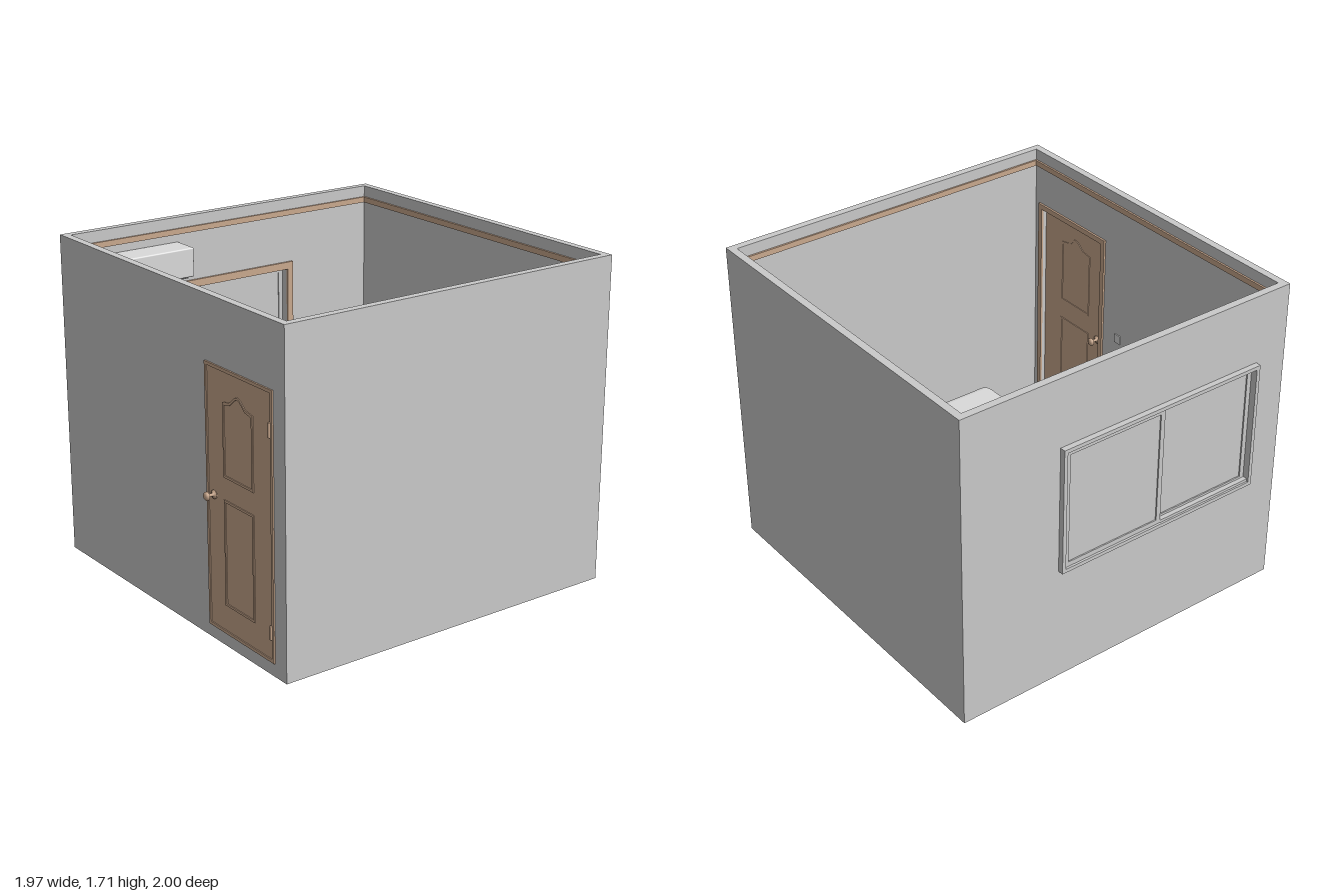
import * as THREE from 'three';
import { RoundedBoxGeometry } from 'three/addons/geometries/RoundedBoxGeometry.js';

export function createModel() {
  const root = new THREE.Group();
  root.name = 'bedroom';
  const mat = (name, color) => {
    const m = new THREE.MeshStandardMaterial({ color });
    m.name = name;
    return m;
  };
  const wall = mat('wallGrey', 0xcacaca), wood = mat('tanWood', 0xcaa98e), beige = mat('beigeWood', 0xc3b7a0);
  const white = mat('white', 0xdadada), grey = mat('grey', 0xa8a8a8), dark = mat('darkGrey', 0x5a5450);

  const add = (name, geo, m, parent = root) => {
    const mesh = new THREE.Mesh(geo, m);
    mesh.name = name;
    parent.add(mesh);
    return mesh;
  };
  const group = (name) => {
    const g = new THREE.Group();
    g.name = name;
    root.add(g);
    return g;
  };
  // Box given by its limits; r > 0 rounds the edges
  const box = (name, m, x0, x1, y0, y1, z0, z1, parent = root, r = 0) => {
    const s = [x1 - x0, y1 - y0, z1 - z0];
    const geo = r ? new RoundedBoxGeometry(...s, 4, r) : new THREE.BoxGeometry(...s);
    geo.translate((x0 + x1) / 2, (y0 + y1) / 2, (z0 + z1) / 2);
    return add(name, geo, m, parent);
  };
  const rect = (x0, x1, y0, y1) => [[x0, y0], [x1, y0], [x1, y1], [x0, y1]].map((p) => new THREE.Vector2(...p));
  const plate = (outer, hole, depth) => {
    const s = new THREE.Shape(outer);
    if (hole) s.holes.push(new THREE.Path(hole));
    return new THREE.ExtrudeGeometry(s, { depth, bevelEnabled: false });
  };
  // Turns a plate drawn in (z, y) so that its depth runs from x = x1 towards -x
  const sideways = (geo, x1) => geo.rotateY(-Math.PI / 2).translate(x1, 0, 0);

  // Room shell
  const H = 1.705;
  box('floor', wood, -0.915, 0.94, 0, 0.06, -0.96, 0.9);
  box('backWall', wall, -0.955, 0.98, 0, H, -1, -0.96);
  box('rightWall', wall, 0.94, 0.98, 0, H, -0.96, 0.9);
  add('frontWall', plate(rect(-0.955, 0.98, 0, H), rect(0.37, 0.88, 0.08, 1.375), 0.04).translate(0, 0, 0.9), wall);
  add('leftWall', sideways(plate(rect(-0.96, 0.9, 0, H), rect(-0.43, 0.74, 0.65, 1.32), 0.04), -0.915), wall);
  add('crownMoulding', plate(rect(-0.915, 0.94, -0.9, 0.96), rect(-0.905, 0.93, -0.89, 0.95), 0.03)
    .rotateX(-Math.PI / 2).translate(0, 1.615, 0), wood);

  // Door with moulded panels on both faces
  const door = group('door');
  box('doorLeaf', wood, 0.37, 0.88, 0.08, 1.375, 0.925, 0.943, door);
  add('doorFrame', plate(rect(0.358, 0.892, 0.068, 1.387), rect(0.374, 0.876, 0.084, 1.371), 0.01).translate(0, 0, 0.938), wood, door);
  add('innerDoorFrame', plate(rect(0.345, 0.905, 0.06, 1.4), rect(0.374, 0.876, 0.082, 1.371), 0.012).translate(0, 0, 0.889), wood, door);
  const archPanel = (i) => {
    const pts = [[0.5 + i, 0.86 + i], [0.74 - i, 0.86 + i], [0.74 - i, 1.225 - i]];
    for (let k = 0; k <= 12; k++) {
      const t = k / 6 - 1;
      pts.push([0.62 - t * -1 * -(0.08 - i / 2), 1.232 - i + 0.045 * (0.5 + 0.5 * Math.cos(t * Math.PI))]);
    }
    pts.push([0.5 + i, 1.225 - i]);
    return pts.map((p) => new THREE.Vector2(...p));
  };
  for (const z of [0.941, 0.921]) {
    add('upperPanelMoulding', plate(archPanel(0), archPanel(0.012), 0.006).translate(0, 0, z), wood, door);
    add('lowerPanelMoulding', plate(rect(0.5, 0.74, 0.215, 0.75), rect(0.512, 0.728, 0.227, 0.738), 0.006).translate(0, 0, z), wood, door);
  }
  const knobProfile = [[0, 0], [0.022, 0], [0.022, 0.006], [0.008, 0.011], [0.008, 0.032], [0.021, 0.04], [0.021, 0.05], [0.012, 0.057], [0, 0.057]]
    .map((p) => new THREE.Vector2(...p));
  for (const side of [1, -1]) {
    const knob = add('doorKnob', new THREE.LatheGeometry(knobProfile, 20), wood, door);
    knob.rotation.x = side * Math.PI / 2;
    knob.position.set(0.42, 0.75, side > 0 ? 0.943 : 0.925);
  }
  for (const y of [0.22, 1.2]) {
    const hinge = add('hinge', new THREE.CylinderGeometry(0.007, 0.007, 0.07, 10), wood, door);
    hinge.position.set(0.876, y, 0.951);
  }
  box('lightSwitch', white, 0.2, 0.245, 0.83, 0.88, 0.894, 0.9);

  // Sliding window in the left wall
  const win = group('window');
  add('windowFrame', sideways(plate(rect(-0.445, 0.755, 0.64, 1.335), rect(-0.425, 0.735, 0.66, 1.315), 0.07), -0.915), wall, win);
  add('windowTrim', sideways(plate(rect(-0.46, 0.77, 0.62, 1.355), rect(-0.425, 0.735, 0.66, 1.315), 0.012), -0.903), wood, win);
  [[-0.425, 0.165, -0.955], [0.125, 0.735, -0.93]].forEach(([z0, z1, x]) => {
    add('sashFrame', sideways(plate(rect(z0, z1, 0.66, 1.315), rect(z0 + 0.025, z1 - 0.025, 0.685, 1.29), 0.018), x), wall, win);
    box('pane', wall, x - 0.011, x - 0.005, 0.68, 1.295, z0 + 0.02, z1 - 0.02, win);
  });
  box('windowRail', wall, -0.975, -0.95, 0.66, 0.675, 0.165, 0.735, win);

  // Air conditioner
  const ac = group('airConditioner');
  box('airConditionerBody', white, -0.915, -0.76, 1.42, 1.575, 0.27, 0.82, ac, 0.008);
  box('airVent', grey, -0.9, -0.775, 1.412, 1.421, 0.3, 0.79, ac);

  // Bed
  const bed = group('bed');
  box('headboardShelf', beige, 0.205, 0.93, 0.06, 0.5, -0.955, -0.83, bed);
  box('bedBase', beige, 0.22, 0.915, 0.13, 0.23, -0.83, 0.54, bed);
  for (const x of [0.205, 0.905]) box('sideRail', beige, x, x + 0.02, 0.1, 0.27, -0.83, 0.54, bed);
  box('footboard', beige, 0.205, 0.925, 0.06, 0.3, 0.535, 0.55, bed);
  box('mattress', white, 0.225, 0.915, 0.22, 0.38, -0.82, 0.538, bed, 0.06);
  // Pillow: a flat box puffed up in the middle with drawn-in sides
  const pillow = new THREE.BoxGeometry(2, 2, 2, 16, 2, 12);
  const pp = pillow.attributes.position;
  for (let i = 0; i < pp.count; i++) {
    const x = pp.getX(i), y = pp.getY(i), z = pp.getZ(i);
    const puff = Math.pow((1 - x ** 4) * (1 - z ** 4), 0.5);
    pp.setXYZ(i, x * 0.17 * (1 - 0.06 * (1 - z * z)), y * (0.004 + 0.04 * puff), z * 0.103 * (1 - 0.08 * (1 - x * x)));
  }
  pillow.computeVertexNormals();
  add('pillow', pillow, white, bed).position.set(0.575, 0.41, -0.712);

  // Things on the headboard shelf
  const clock = group('alarmClock');
  box('clockBody', dark, -0.045, 0.045, 0, 0.05, -0.022, 0.022, clock, 0.01);
  box('clockFace', grey, -0.036, 0.036, 0.01, 0.04, 0.02, 0.024, clock);
  clock.position.set(0.358, 0.5, -0.89);
  clock.rotation.y = 0.15;
  box('tissueBox', beige, 0.447, 0.612, 0.5, 0.56, -0.92, -0.852);
  box('tissueSlot', dark, 0.49, 0.57, 0.56, 0.562, -0.891, -0.882);

  // Desk with a rounded top
  const desk = group('desk');
  const top = new THREE.Shape();
  const r = 0.08, a = [-0.91, -0.35, 0.39, 0.955];
  top.absarc(a[0] + r, a[2] + r, r, Math.PI, Math.PI * 1.5);
  top.absarc(a[1] - r, a[2] + r, r, Math.PI * 1.5, Math.PI * 2);
  top.absarc(a[1] - r, a[3] - r, r, 0, Math.PI / 2);
  top.absarc(a[0] + r, a[3] - r, r, Math.PI / 2, Math.PI);
  add('deskTop', new THREE.ExtrudeGeometry(top, { depth: 0.03, bevelEnabled: false, curveSegments: 8 })
    .rotateX(-Math.PI / 2).translate(0, 0.53, 0), wood, desk);
  for (const x of [-0.85, -0.41]) for (const z of [-0.89, -0.45])
    add('deskLeg', new THREE.CylinderGeometry(0.02, 0.015, 0.47, 12), wood, desk).position.set(x, 0.295, z);

  // Chair facing the desk
  const chair = group('chair');
  box('seatCushion', white, -0.48, -0.17, 0.32, 0.365, -0.845, -0.505, chair, 0.02);
  box('seatFrame', wood, -0.47, -0.17, 0.295, 0.325, -0.83, -0.52, chair);
  const strut = (name, p, q, rad) => {
    const A = new THREE.Vector3(...p), B = new THREE.Vector3(...q);
    add(name, new THREE.TubeGeometry(new THREE.LineCurve3(A, B), 1, rad, 8), wood, chair);
  };
  for (const s of [-1, 1]) {
    const z = (d) => -0.675 + s * d;
    strut('frontLeg', [-0.46, 0.06, z(0.15)], [-0.45, 0.31, z(0.14)], 0.012);
    strut('backLeg', [-0.15, 0.06, z(0.15)], [-0.18, 0.32, z(0.15)], 0.012);
    strut('backPost', [-0.18, 0.3, z(0.155)], [-0.1, 0.68, z(0.125)], 0.01);
    strut('sideStretcher', [-0.455, 0.17, z(0.145)], [-0.165, 0.17, z(0.15)], 0.008);
  }
  strut('topRail', [-0.1, 0.67, -0.8], [-0.1, 0.67, -0.55], 0.012);
  strut('lowerRail', [-0.15, 0.44, -0.815], [-0.15, 0.44, -0.535], 0.009);
  const pad = box('backPad', grey, -0.012, 0.012, -0.13, 0.13, -0.058, 0.058, chair, 0.008);
  pad.position.set(-0.135, 0.55, -0.675);
  pad.rotation.z = -0.2;

  // Square tapered waste bin
  const bin = group('wasteBin');
  const shell = new THREE.LatheGeometry([[0.065, 0], [0.1, 0.2], [0.09, 0.2], [0.062, 0.012], [0, 0.012]]
    .map((p) => new THREE.Vector2(...p)), 4, Math.PI / 4).toNonIndexed();
  shell.computeVertexNormals();
  const binWood = wood.clone();
  binWood.name = 'tanWoodOpen';
  binWood.side = THREE.DoubleSide;
  add('binShell', shell, binWood, bin);
  bin.position.set(-0.838, 0.06, -0.285);

  // Bookcase along the front wall
  const bookcase = group('bookcase');
  for (const [x0, x1, h] of [[-0.912, -0.732, 0.75], [-0.722, -0.3, 0.85]]) {
    box('bookcaseBack', beige, x0, x1, 0.06, h, 0.885, 0.9, bookcase);
    for (const x of [x0, x1 - 0.015]) box('bookcaseSide', beige, x, x + 0.015, 0.06, h, 0.78, 0.89, bookcase);
    for (let i = 0; i < 4; i++) {
      const y = 0.06 + (i * (h - 0.075)) / 3;
      box('shelf', beige, x0 + 0.001, x1 - 0.001, y, y + 0.015, 0.78, 0.89, bookcase);
    }
  }
  for (let i = 0; i < 6; i++)
    box('book', [dark, grey, white][i % 3], -0.69 + i * 0.026, -0.667 + i * 0.026, 0.593, 0.74 + (i % 2) * 0.02, 0.774 + (i % 3) * 0.004, 0.87, bookcase);

  return root;
}
